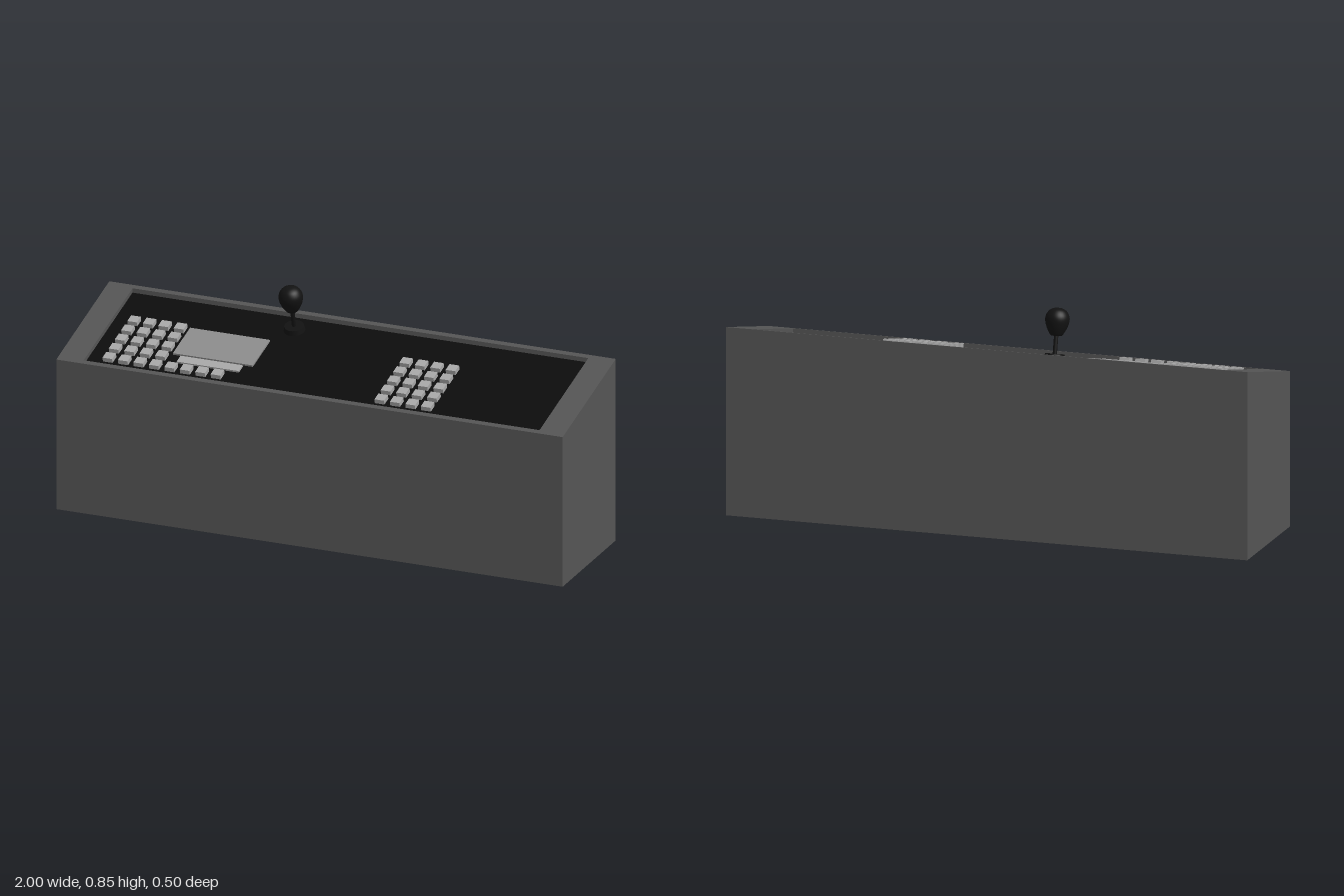
import * as THREE from 'three';

const SLOPE = 0.25;                 // rise of the deck towards the back
const TILT = Math.atan(SLOPE);
const MID = 0.648;                  // rim height at z = 0
const DEPTH = 0.018;                // recess depth
const deckY = z => MID - SLOPE * z;

const mat = color => new THREE.MeshStandardMaterial({ color });
const grey = mat(0x555555), black = mat(0x0c0c0c), keyGrey = mat(0xa8a8a8), screenGrey = mat(0x8c8c8c);
const stickBlack = mat(0x121212);

function add(parent, name, geometry, material, x = 0, y = 0, z = 0) {
  const mesh = new THREE.Mesh(geometry, material);
  mesh.name = name;
  mesh.position.set(x, y, z);
  parent.add(mesh);
  return mesh;
}

function rect(ShapeType, w, d) {
  const s = new ShapeType();
  s.moveTo(-w, -d); s.lineTo(w, -d); s.lineTo(w, d); s.lineTo(-w, d); s.closePath();
  return s;
}

// Vertical prism over a footprint, its bottom and top heights given as functions of z
function slab(shape, bottom, top) {
  const g = new THREE.ExtrudeGeometry(shape, { depth: 1, bevelEnabled: false }).rotateX(-Math.PI / 2);
  const p = g.attributes.position;
  for (let i = 0; i < p.count; i++) {
    const z = p.getZ(i);
    p.setY(i, p.getY(i) > 0.5 ? top(z) : bottom(z));
  }
  g.computeVertexNormals();
  return g;
}

export function createModel() {
  const model = new THREE.Group();
  model.name = 'controlConsole';

  // Cabinet and the raised rim around the sunken panel
  add(model, 'cabinet', slab(rect(THREE.Shape, 1, 0.25), () => 0, z => deckY(z) - DEPTH), grey);
  const rim = rect(THREE.Shape, 1, 0.25);
  rim.holes.push(rect(THREE.Path, 0.9, 0.23));
  add(model, 'rim', slab(rim, z => deckY(z) - DEPTH, deckY), grey);
  add(model, 'panel', slab(rect(THREE.Shape, 0.9, 0.23), z => deckY(z) - DEPTH - 0.002, z => deckY(z) - DEPTH + 0.001), black);

  // Tilted deck: local y = 0 is the panel surface
  const deck = new THREE.Group();
  deck.name = 'deck';
  deck.position.y = MID - DEPTH;
  deck.rotation.x = TILT;
  model.add(deck);
  const local = z => z / Math.cos(TILT);

  // Keypads
  const keyGeometry = new THREE.BoxGeometry(0.038, DEPTH, 0.038);
  function keypad(name, x0, lastRowCount) {
    const pad = new THREE.Group();
    pad.name = name;
    for (let row = 0; row < 5; row++) {
      const count = row === 4 ? lastRowCount : 4;
      for (let col = 0; col < count; col++)
        add(pad, 'key', keyGeometry, keyGrey, x0 + col * 0.061, DEPTH / 2, local(-0.058 + row * 0.0585));
    }
    deck.add(pad);
  }
  keypad('rightKeypad', -0.82, 8);
  keypad('leftKeypad', 0.254, 4);

  // Screen and the bar in front of it
  add(deck, 'screen', new THREE.BoxGeometry(0.315, 0.008, local(0.163)), screenGrey, -0.447, 0.004, local(0.012));
  add(deck, 'screenBar', new THREE.BoxGeometry(0.245, 0.008, local(0.038)), keyGrey, -0.448, 0.004, local(0.12));

  // Joystick, square to the deck
  const stick = new THREE.Group();
  stick.name = 'joystick';
  stick.position.set(-0.23, 0, local(-0.158));
  deck.add(stick);
  add(stick, 'joystickBase', new THREE.CylinderGeometry(0.036, 0.04, 0.02, 32), stickBlack, 0, 0.01);
  add(stick, 'joystickShaft', new THREE.CylinderGeometry(0.008, 0.008, 0.1, 16), stickBlack, 0, 0.05);
  const profile = new THREE.SplineCurve([
    [0.018, 0.086], [0.025, 0.093], [0.037, 0.115], [0.0445, 0.14], [0.043, 0.16], [0.032, 0.178], [0.016, 0.187], [0, 0.189],
  ].map(([r, y]) => new THREE.Vector2(r, y))).getPoints(28);
  profile[profile.length - 1].x = 0;
  add(stick, 'joystickKnob', new THREE.LatheGeometry([new THREE.Vector2(0, 0.086), ...profile], 32), stickBlack);

  return model;
}
